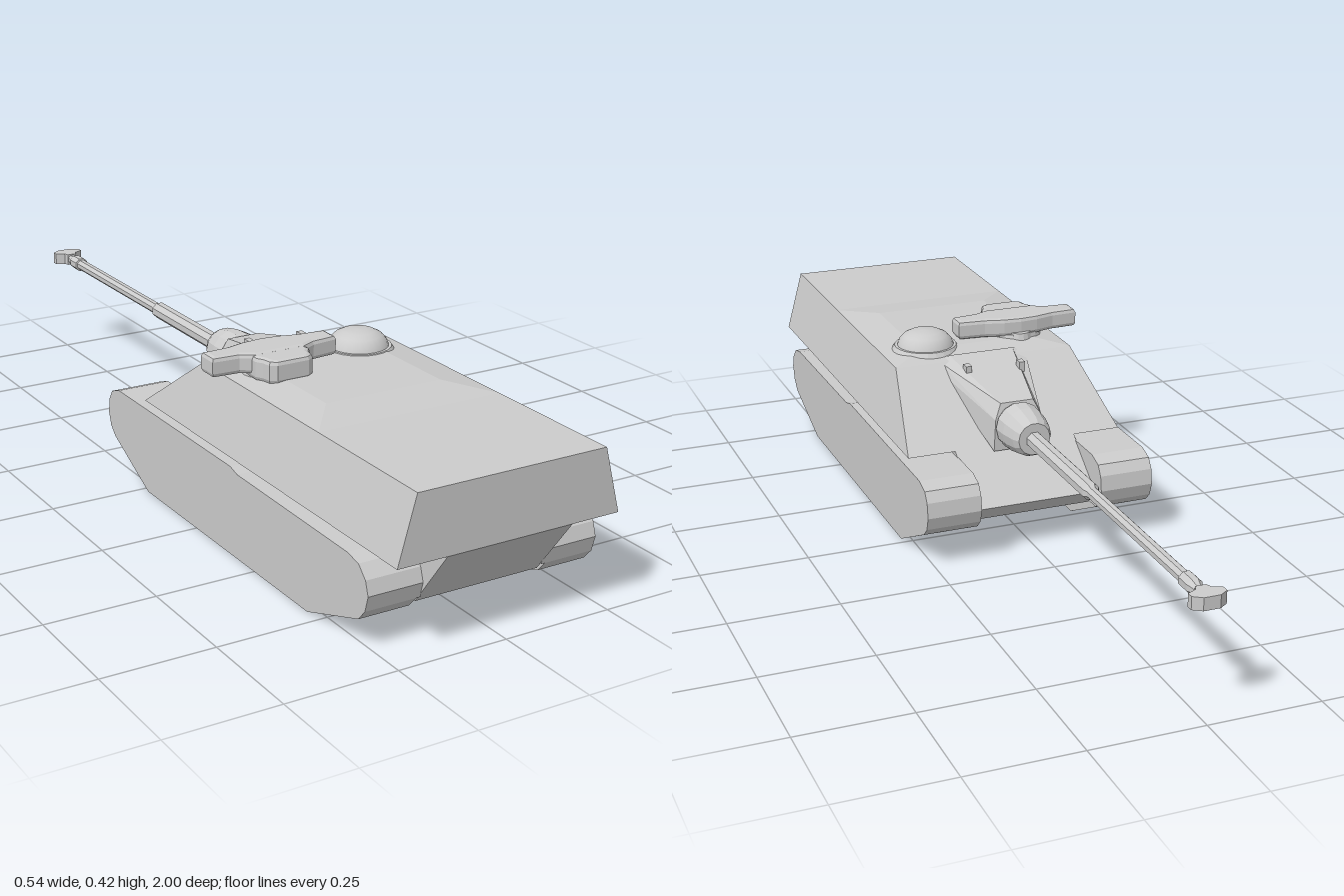
import * as THREE from 'three';

const material = new THREE.MeshStandardMaterial({ color: 0xcccccc, flatShading: true });
const smooth = new THREE.MeshStandardMaterial({ color: 0xcccccc });

function add(parent, name, geometry, x = 0, y = 0, z = 0, mat = material) {
  const mesh = new THREE.Mesh(geometry, mat);
  mesh.name = name;
  mesh.position.set(x, y, z);
  parent.add(mesh);
  return mesh;
}

const shapeOf = (pts) => new THREE.Shape(pts.map((p) => new THREE.Vector2(...p)));

// Side profile of (z, y) points, extruded from x0 to x1.
function sideExtrude(pts, x0, x1) {
  const g = new THREE.ExtrudeGeometry(shapeOf(pts), { depth: x1 - x0, bevelEnabled: false });
  return g.rotateY(-Math.PI / 2).translate(x1, 0, 0);
}

// Plan outline of (x, z) points, extruded from y0 to y1 with rounded edges.
function planExtrude(pts, y0, y1, bevel) {
  const g = new THREE.ExtrudeGeometry(shapeOf(pts), {
    depth: y1 - y0 - 2 * bevel, bevelEnabled: bevel > 0, bevelThickness: bevel,
    bevelSize: bevel, bevelOffset: -bevel, bevelSegments: 2, curveSegments: 6,
  });
  return g.rotateX(Math.PI / 2).translate(0, y1 - bevel, 0);
}

// Closed solid through four-cornered rings, listed from the bottom up.
// Each ring is [half width at +z, y, z, half width at -z, y, z].
function loft(rings) {
  const pos = [], idx = [];
  for (const [wb, yb, zb, wf, yf, zf] of rings) {
    pos.push(-wb, yb, zb, wb, yb, zb, wf, yf, zf, -wf, yf, zf);
  }
  for (let r = 0; r < rings.length - 1; r++) {
    for (let i = 0; i < 4; i++) {
      const a = r * 4 + i, b = r * 4 + (i + 1) % 4;
      idx.push(a, b, b + 4, a, b + 4, a + 4);
    }
  }
  const t = (rings.length - 1) * 4;
  idx.push(0, 2, 1, 0, 3, 2, t, t + 1, t + 2, t, t + 2, t + 3);
  const g = new THREE.BufferGeometry();
  g.setAttribute('position', new THREE.Float32BufferAttribute(pos, 3));
  g.setIndex(idx);
  const flat = g.toNonIndexed();
  flat.computeVertexNormals();
  return flat;
}

// Turned part along -z; points are (radius, distance forward of the origin).
function turned(pts, sides) {
  const g = new THREE.LatheGeometry(pts.map((p) => new THREE.Vector2(...p)), sides, Math.PI / sides);
  return g.rotateX(-Math.PI / 2);
}

export function createModel() {
  const model = new THREE.Group();
  model.name = 'tankDestroyer';

  // Hull: sloped casemate above, narrow tub between the tracks
  add(model, 'upperHull', loft([
    [0.26, 0.21, 1, 0.26, 0.21, -0.01],
    [0.22, 0.355, 1, 0.22, 0.355, 0.19],
  ]));
  add(model, 'raisedRoof', loft([
    [0.22, 0.355, 0.66, 0.22, 0.355, 0.19],
    [0.14, 0.368, 0.56, 0.14, 0.368, 0.26],
  ]));
  add(model, 'lowerHull', sideExtrude([
    [1, 0.21], [-0.01, 0.21], [-0.14, 0.116], [-0.1, 0.075], [0.9, 0.075],
  ], -0.147, 0.147));

  // Tracks, with a thin inner strip joining them to the tub
  const track = [
    [0.71, 0], [0.893, 0.065], [0.915, 0.09], [0.925, 0.125], [0.915, 0.155], [0.89, 0.18],
    [0.85, 0.188], [0.43, 0.192], [0.4, 0.2], [-0.12, 0.2], [-0.155, 0.188],
    [-0.17, 0.165], [-0.175, 0.13], [-0.165, 0.1], [-0.145, 0.08], [0.02, 0],
  ];
  const strip = track.filter((p) => p[1] >= 0.08);
  for (const side of [-1, 1]) {
    const name = side > 0 ? 'left' : 'right';
    const [a, b, c] = [0.272, 0.155, 0.145].map((x) => x * side);
    add(model, name + 'Track', sideExtrude(track, Math.min(a, b), Math.max(a, b)));
    add(model, name + 'TrackInnerStrip', sideExtrude(strip, Math.min(b, c), Math.max(b, c)));
  }

  // Gun housing, mantlet and stepped barrel
  const gun = new THREE.Group();
  gun.name = 'gun';
  model.add(gun);
  add(gun, 'gunHousing', loft([
    [0.115, 0.335, 0.2, 0.06, 0.205, -0.03],
    [0.108, 0.352, 0.2, 0.056, 0.28, -0.03],
    [0.08, 0.362, 0.21, 0.04, 0.316, -0.02],
  ]));
  add(gun, 'mantlet', turned([
    [0, -0.02], [0.05, 0.02], [0.057, 0.035], [0.055, 0.07], [0.047, 0.11], [0.038, 0.127], [0, 0.127],
  ], 14), 0, 0.262, 0);
  add(gun, 'barrel', turned([
    [0.02, 0.1], [0.02, 0.44], [0.014, 0.45], [0.014, 0.9], [0, 0.9],
  ], 8), 0, 0.26, 0);
  add(gun, 'muzzleCollar', turned([
    [0, 0.885], [0.018, 0.89], [0.018, 0.925], [0.012, 0.94], [0.012, 0.97],
  ], 8), 0, 0.26, 0);
  add(gun, 'muzzleBrake', planExtrude([
    [-0.012, -0.95], [-0.016, -0.962], [-0.037, -0.972], [-0.037, -0.987], [-0.018, -1],
    [0.018, -1], [0.037, -0.987], [0.037, -0.972], [0.016, -0.962], [0.012, -0.95],
  ], 0.246, 0.274, 0));
  for (const [x, z] of [[-0.065, 0.12], [0.062, 0.135]]) {
    add(model, 'housingLug', new THREE.BoxGeometry(0.014, 0.024, 0.022), x, 0.348, z);
  }

  // Rangefinder: crossbar with swollen middle and rear eyepiece block
  add(model, 'rangefinderRing', new THREE.CylinderGeometry(0.062, 0.068, 0.02, 20), -0.122, 0.366, 0.312);
  add(model, 'rangefinderBar', planExtrude([
    [-0.272, 0.277], [-0.21, 0.274], [-0.165, 0.262], [-0.122, 0.258], [-0.08, 0.262], [-0.035, 0.274],
    [0.03, 0.28], [0.03, 0.328], [-0.03, 0.335], [-0.06, 0.35], [-0.18, 0.35], [-0.21, 0.332], [-0.272, 0.328],
  ], 0.37, 0.416, 0.01));
  add(model, 'rangefinderEyepiece', planExtrude([
    [-0.188, 0.31], [-0.055, 0.31], [-0.055, 0.36], [-0.066, 0.375], [-0.07, 0.395], [-0.085, 0.405],
    [-0.16, 0.405], [-0.175, 0.395], [-0.179, 0.375], [-0.188, 0.36],
  ], 0.36, 0.413, 0.01));
  add(model, 'rangefinderFrontBoss', new THREE.CylinderGeometry(0.026, 0.03, 0.018, 14), -0.122, 0.371, 0.27);

  // Domed hatch on a low ring
  add(model, 'hatchRing', new THREE.CylinderGeometry(0.074, 0.083, 0.014, 24), 0.112, 0.363, 0.29);
  const dome = new THREE.LatheGeometry([
    [0.068, 0], [0.063, 0.014], [0.052, 0.026], [0.036, 0.034], [0.018, 0.037], [0, 0.038],
  ].map((p) => new THREE.Vector2(...p)), 24);
  add(model, 'hatchDome', dome, 0.112, 0.368, 0.29, smooth);

  return model;
}
